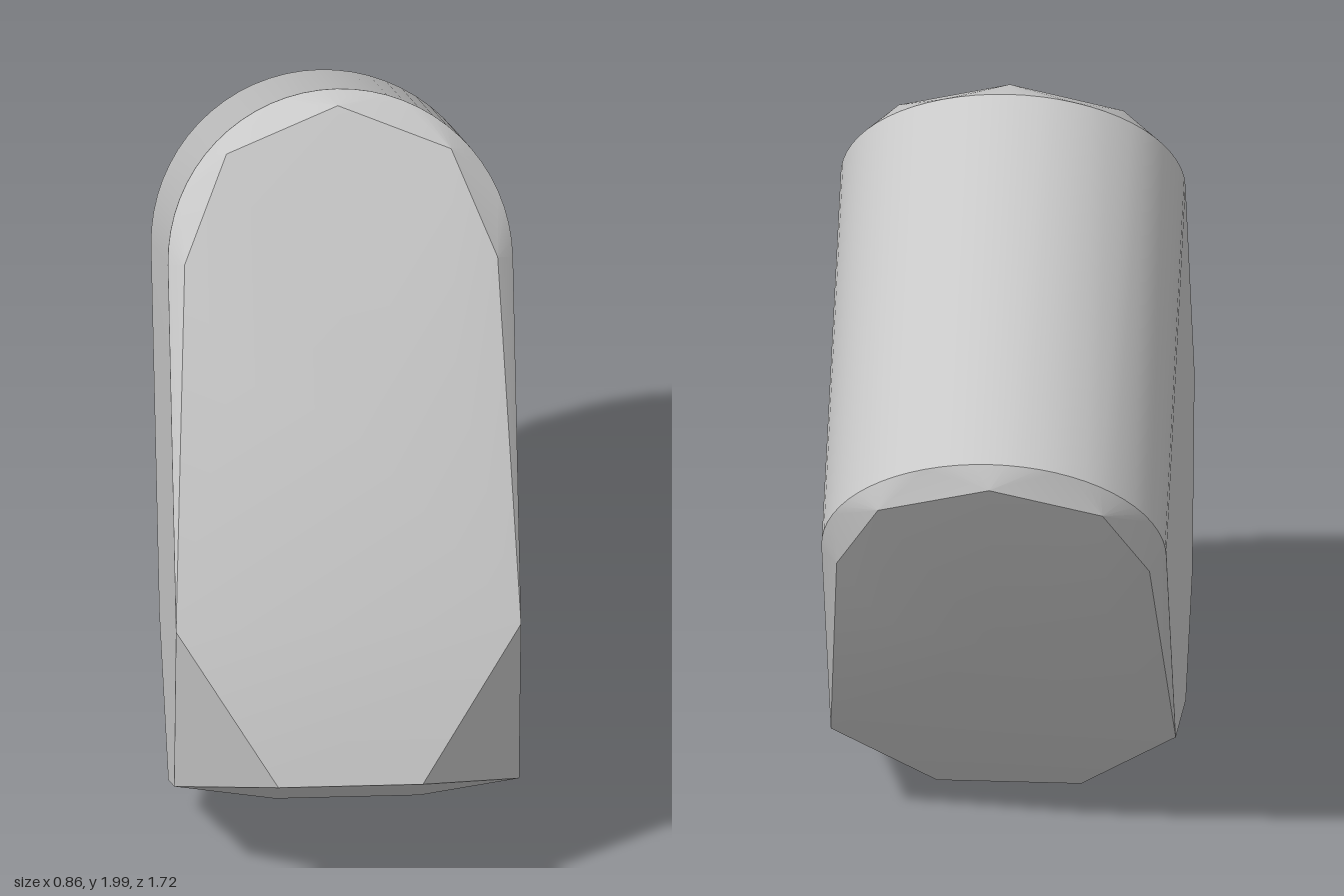
import * as THREE from 'three';
import { toCreasedNormals } from 'three/addons/utils/BufferGeometryUtils.js';
import { ConvexGeometry } from 'three/addons/geometries/ConvexGeometry.js';

export function createModel() {
  const grey = new THREE.MeshStandardMaterial({ color: 0xc8c8c8 });
  grey.name = 'light grey';

  const points = [];
  // Adds a point on both sides and on both front and back
  const mirrored = (x, y, z) => {
    for (const sx of x === 0 ? [1] : [1, -1])
      for (const sz of [1, -1]) points.push(new THREE.Vector3(sx * x, y, sz * z));
  };

  // Rounded top: a half circle swept through the depth
  const radius = 0.43, steps = 16;
  for (let i = 0; i <= steps; i++) {
    const a = (i / steps) * Math.PI / 2;
    mirrored(i === steps ? 0 : radius * Math.cos(a), 1.265 + radius * Math.sin(a), 0.533);
  }

  // Raised front and back faces
  mirrored(0, 1.655, 0.585);
  mirrored(0.28, 1.541, 0.584);
  mirrored(0.39, 1.268, 0.581);
  mirrored(0.28, 0.985, 0.584);
  mirrored(0, 0.87, 0.585);

  // Cut lower corners
  mirrored(0.43, 0.35, 0.525);
  mirrored(0.18, -0.048, 0.435);
  mirrored(0.43, -0.05, 0.185);

  // Slightly bulging underside
  mirrored(0.18, -0.085, 0.21);

  const body = new THREE.Mesh(toCreasedNormals(new ConvexGeometry(points), 0.3), grey);
  body.name = 'body';

  // Lean the body backward
  body.rotation.x = -0.512;
  body.position.set(0, 0.255, 0.462);

  const model = new THREE.Group();
  model.name = 'leaningBlock';
  model.add(body);
  return model;
}
